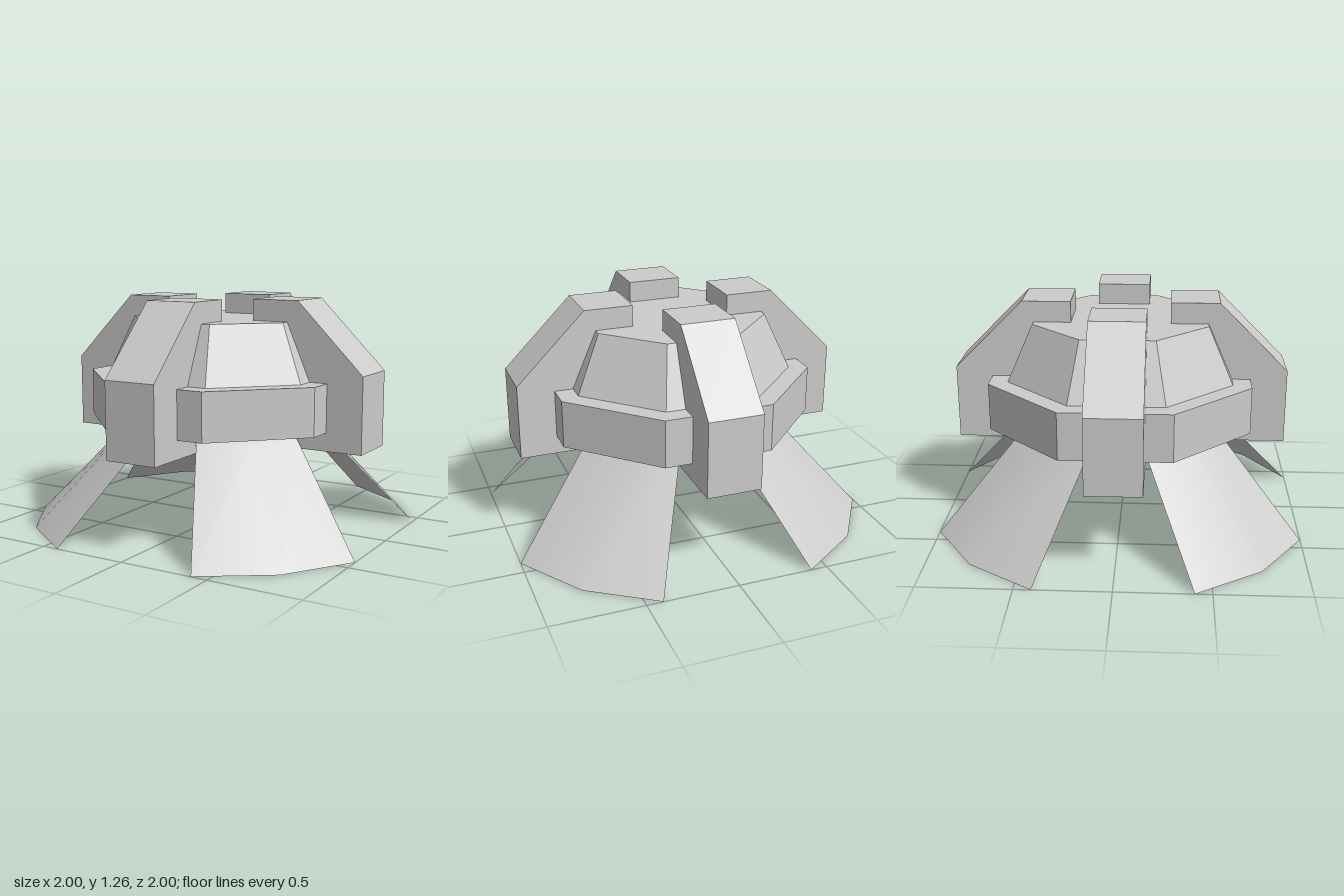
import * as THREE from 'three';

const grey = new THREE.MeshStandardMaterial({ color: 0xcccccc, flatShading: true });
const sheet = new THREE.MeshStandardMaterial({ color: 0xcccccc, side: THREE.DoubleSide });

// Octagonal solid from [apothem, y] points, flat sides facing the axes
function octagon(name, profile) {
  const points = profile.map(([a, y]) => new THREE.Vector2(a / Math.cos(Math.PI / 8), y));
  const mesh = new THREE.Mesh(new THREE.LatheGeometry(points, 8, Math.PI / 8), grey);
  mesh.name = name;
  return mesh;
}

// Chamfered block that clamps over the body, extending along +x
function armGeometry() {
  const width = 0.295;
  const shape = new THREE.Shape([
    [0.27, 0.48], [0.91, 0.48], [0.91, 0.89], [0.535, 1.265], [0.27, 1.265],
  ].map(([x, y]) => new THREE.Vector2(x, y)));
  return new THREE.ExtrudeGeometry(shape, { depth: width, bevelEnabled: false })
    .translate(0, 0, -width / 2);
}

// Thin curved leg running outward along +x, bowed across its width
function legGeometry() {
  // rows: height, half width, distance at the edges, distance at the middle
  const rows = [
    [0, 0.417, 0.997, 1.08],
    [0.53, 0.276, 0.5, 0.57],
    [0.6, 0.25, 0.42, 0.47],
  ];
  const positions = [];
  const index = [];
  rows.forEach(([y, half, edge, middle], r) => {
    positions.push(edge, y, -half, middle, y, 0, edge, y, half);
    if (r === rows.length - 1) return;
    for (let c = 0; c < 2; c++) {
      const a = r * 3 + c;
      index.push(a, a + 3, a + 1, a + 1, a + 3, a + 4);
    }
  });
  const geometry = new THREE.BufferGeometry();
  geometry.setAttribute('position', new THREE.Float32BufferAttribute(positions, 3));
  geometry.setIndex(index);
  geometry.computeVertexNormals();
  return geometry;
}

export function createModel() {
  const model = new THREE.Group();
  model.name = 'octagonalPod';

  // Body: wide ring with a shallow recess below, tapered dome on top
  model.add(octagon('ring', [[0, 0.67], [0.43, 0.67], [0.43, 0.58], [0.71, 0.58], [0.71, 0.84], [0, 0.84]]));
  model.add(octagon('dome', [[0.61, 0.84], [0.475, 1.15], [0, 1.15]]));

  // Four arms on the axes, four legs on the diagonals
  const arm = armGeometry();
  const leg = legGeometry();
  for (let i = 0; i < 4; i++) {
    const armMesh = new THREE.Mesh(arm, grey);
    armMesh.name = `arm${i + 1}`;
    armMesh.rotation.y = i * Math.PI / 2;
    const legMesh = new THREE.Mesh(leg, sheet);
    legMesh.name = `leg${i + 1}`;
    legMesh.rotation.y = (i + 0.5) * Math.PI / 2;
    model.add(armMesh, legMesh);
  }
  return model;
}
